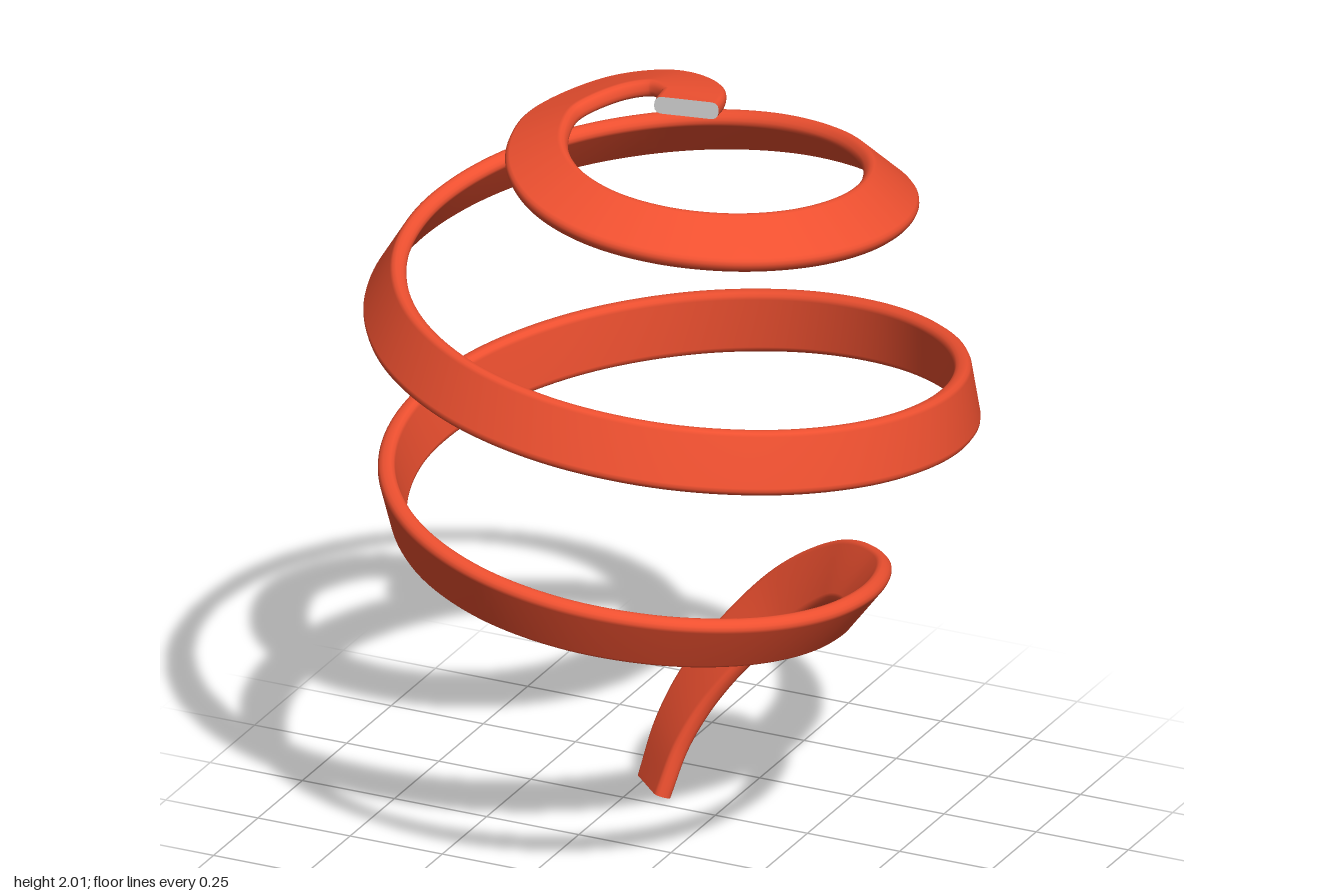
import * as THREE from 'three';

const V = (x, y, z) => new THREE.Vector3(x, y, z);
const HALF_WIDTH = 0.08, HALF_THICK = 0.022, CORNER = 0.017, RINGS = 520;

// Rounded-rectangle cross-section, x across the ribbon, y through its thickness
function ribbonSection() {
  const pts = [];
  [[1, 1], [-1, 1], [-1, -1], [1, -1]].forEach(([sx, sy], q) => {
    for (let k = 0; k <= 3; k++) {
      const a = (q + k / 3) * Math.PI / 2;
      pts.push([sx * (HALF_WIDTH - CORNER) + CORNER * Math.cos(a), sy * (HALF_THICK - CORNER) + CORNER * Math.sin(a)]);
    }
  });
  return pts;
}

// Control points: curled tip, winding on a ball, then the tail that drops down
function controlPoints() {
  const pts = [V(0.025, 1.977, -0.035), V(0, 1.972, -0.125), V(-0.1, 1.962, -0.178), V(-0.21, 1.945, -0.135)];
  // radius and height at each quarter turn
  const quarters = [[0.305, 1.915], [0.395, 1.85], [0.495, 1.77], [0.625, 1.67], [0.69, 1.54], [0.71, 1.41],
    [0.722, 1.265], [0.727, 1.125], [0.7, 0.98], [0.607, 0.85], [0.495, 0.74]];
  const profile = new THREE.SplineCurve(quarters.map(([r, y]) => new THREE.Vector2(r, y)));
  const steps = (quarters.length - 1) * 4;
  for (let i = 0; i <= steps; i++) {
    const p = profile.getPoint(i / steps), a = Math.PI / 2 + i * Math.PI / 8;
    pts.push(V(-p.x * Math.sin(a), p.y, -p.x * Math.cos(a)));
  }
  return pts;
}

// Tail: centre and direction of the upper edge
const tail = [
  [V(0.415, 0.705, -0.235), V(0.045, 0.065, -0.025)],
  [V(0.28, 0.655, -0.362), V(0, 0.065, -0.045)],
  [V(0.09, 0.515, -0.43), V(-0.05, 0.05, -0.052)],
  [V(-0.09, 0.3, -0.4), V(-0.06, 0.025, -0.055)],
  [V(-0.165, 0.15, -0.362), V(-0.057, 0.01, -0.057)],
  [V(-0.2, 0.005, -0.32), V(-0.055, 0, -0.06)],
];

function buildRings() {
  const coil = controlPoints();
  const path = new THREE.CatmullRomCurve3([...coil, ...tail.map(t => t[0])]);
  const last = path.points.length - 1;
  const centre = V(0, 1.1, 0);
  const edges = path.points.map((p, i) => i < coil.length
    ? p.clone().sub(centre).normalize().cross(path.getTangent(i / last)).normalize()
    : tail[i - coil.length][1].clone().normalize());
  const edgeCurve = new THREE.CatmullRomCurve3(edges, false, 'catmullrom', 0.5);
  const section = ribbonSection();
  const rings = [];
  for (let i = 0; i <= RINGS; i++) {
    const u = i / RINGS, p = path.getPoint(u), t = path.getTangent(u);
    const w = edgeCurve.getPoint(u);
    w.addScaledVector(t, -w.dot(t)).normalize();
    const n = t.clone().cross(w);
    rings.push(section.map(([a, b]) => p.clone().addScaledVector(w, a).addScaledVector(n, b)));
  }
  return rings;
}

function makeGeometry(points, index) {
  const g = new THREE.BufferGeometry().setFromPoints(points);
  g.setIndex(index);
  g.computeVertexNormals();
  return g;
}

export function createModel() {
  const group = new THREE.Group();
  group.name = 'spiralRibbon';
  const red = new THREE.MeshStandardMaterial({ color: 0xee5030 });
  const grey = new THREE.MeshStandardMaterial({ color: 0xcccccc });
  const rings = buildRings(), n = rings[0].length;

  // Ribbon skin
  const index = [];
  for (let i = 0; i < RINGS; i++) {
    for (let j = 0; j < n; j++) {
      const k = (j + 1) % n;
      const a = i * n + j, b = i * n + k, c = a + n, d = b + n;
      index.push(a, b, c, b, d, c);
    }
  }
  const ribbon = new THREE.Mesh(makeGeometry(rings.flat(), index), red);
  ribbon.name = 'coiledRibbon';
  group.add(ribbon);

  // Flat end faces
  const addCap = (ring, name) => {
    const fan = [];
    for (let j = 1; j < n - 1; j++) fan.push(0, j, j + 1);
    const cap = new THREE.Mesh(makeGeometry(ring, fan), grey);
    cap.name = name;
    group.add(cap);
  };
  addCap([...rings[0]].reverse(), 'topEnd');
  addCap(rings[RINGS], 'bottomEnd');
  return group;
}
